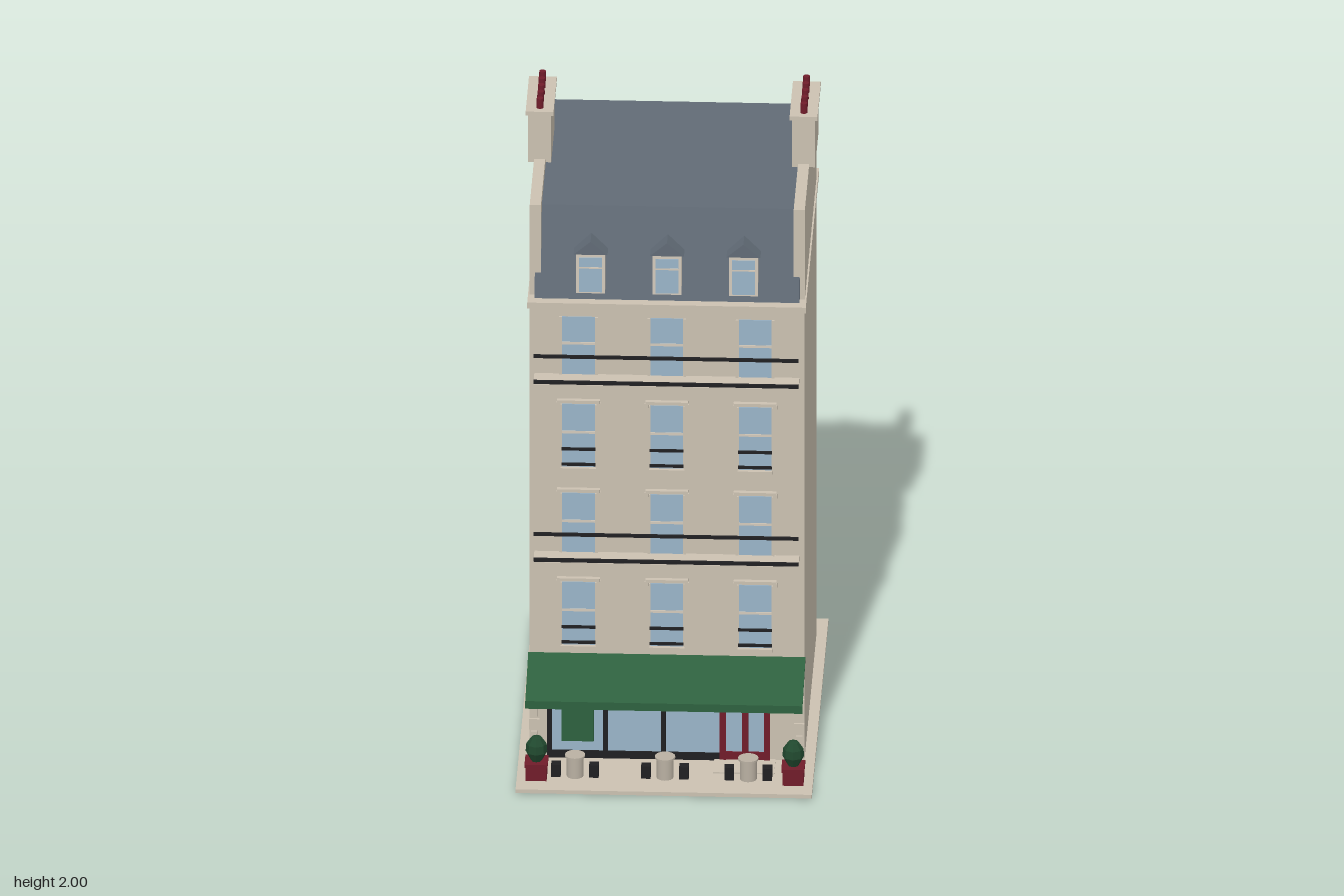
import * as THREE from 'three';

const mat = (name, color) => new THREE.MeshStandardMaterial({ name, color });

export function createModel() {
  const root = new THREE.Group();
  root.name = 'townhouse';
  const stone = mat('stone', 0xcbc1b1), trim = mat('paleTrim', 0xd3cabb), slate = mat('slate', 0x616b76);
  const glass = mat('glass', 0x9ab4c8), green = mat('awningGreen', 0x2e613f), red = mat('shopRed', 0x701c2a);
  const black = mat('ironBlack', 0x1f2022), leaf = mat('foliage', 0x21492f), metal = mat('tableMetal', 0xb9b0a2);

  const add = (parent, name, geometry, material, x = 0, y = 0, z = 0) => {
    const m = new THREE.Mesh(geometry, material);
    m.name = name;
    m.position.set(x, y, z);
    parent.add(m);
    return m;
  };
  // Box given by its limits on each axis
  const box = (parent, name, material, x0, x1, y0, y1, z0, z1) =>
    add(parent, name, new THREE.BoxGeometry(x1 - x0, y1 - y0, z1 - z0), material,
      (x0 + x1) / 2, (y0 + y1) / 2, (z0 + z1) / 2);
  // Side profile of [z, y] points swept from x0 to x1
  const prism = (parent, name, material, points, x0, x1) => {
    const shape = new THREE.Shape(points.map(p => new THREE.Vector2(...p)));
    const g = new THREE.ExtrudeGeometry(shape, { depth: x1 - x0, bevelEnabled: false });
    g.rotateY(-Math.PI / 2).translate(x1, 0, 0);
    return add(parent, name, g, material);
  };
  const group = (name, x, y, z, turned) => {
    const g = new THREE.Group();
    g.name = name;
    g.position.set(x, y, z);
    if (turned) g.rotation.y = Math.PI;
    root.add(g);
    return g;
  };

  const FRONT = 0.355, BACK = -0.525;

  // Pavement and main walls
  box(root, 'pavement', stone, -0.436, 0.436, 0.004, 0.016, -0.585, 0.58);
  box(root, 'doorStep', stone, 0.14, 0.32, 0, 0.02, 0.34, 0.45);
  box(root, 'mainWalls', stone, -0.39, 0.39, 0.01, 1.5, BACK, FRONT);
  box(root, 'corniceUpper', stone, -0.41, 0.41, 1.497, 1.516, -0.545, 0.38);
  box(root, 'corniceLower', stone, -0.4, 0.4, 1.478, 1.497, -0.532, 0.368);

  // Mansard roof
  prism(root, 'mansardRoof', slate,
    [[0.35, 1.515], [0.26, 1.78], [-0.435, 1.78], [-0.525, 1.515]], -0.39, 0.39);

  // Party walls, chimneys and pots
  for (const s of [-1, 1]) {
    const side = group(s > 0 ? 'leftPartyWall' : 'rightPartyWall', s * 0.3885, 0, 0);
    box(side, 'lowerWall', stone, -0.0165, 0.0165, 0.01, 1.5, -0.495, FRONT);
    box(side, 'gableWall', stone, -0.0165, 0.0165, 1.5, 1.81, -0.495, 0.325);
    box(side, 'chimneyStack', stone, -0.034, 0.034, 1.8, 1.958, -0.197, 0.022);
    box(side, 'chimneyCap', stone, -0.041, 0.041, 1.956, 1.969, -0.205, 0.03);
    for (let i = 0; i < 5; i++)
      add(side, 'chimneyPot', new THREE.CylinderGeometry(0.01, 0.011, 0.034, 10), red,
        0, 1.983, -0.178 + i * 0.0445);
  }

  // Dormers on both roof slopes
  for (const turned of [false, true]) for (const x of [-0.225, 0, 0.225]) {
    const d = group('dormer', x, 0, turned ? BACK : 0.35, turned);
    box(d, 'dormerBody', trim, -0.043, 0.043, 1.525, 1.662, -0.09, -0.006);
    box(d, 'dormerGlass', glass, -0.034, 0.034, 1.538, 1.65, -0.007, -0.003);
    box(d, 'dormerGlazingBar', trim, -0.034, 0.034, 1.615, 1.62, -0.004, -0.002);
    const gable = new THREE.Shape([[-0.05, 1.66], [0.05, 1.66], [0, 1.703]]
      .map(p => new THREE.Vector2(...p)));
    add(d, 'dormerRoof', new THREE.ExtrudeGeometry(gable, { depth: 0.08, bevelEnabled: false }),
      slate, 0, 0, -0.083);
  }

  // Windows: four floors, three bays, front and rear
  for (let floor = 0; floor < 4; floor++) for (const x of [-0.26, 0, 0.26]) {
    const base = 0.385 + floor * 0.292;
    const w = group('frontWindow', x, base, FRONT);
    const top = floor === 3 ? 0.2 : 0.205;
    box(w, 'windowGlass', glass, -0.048, 0.048, 0, top, 0, 0.003);
    for (const s of [-1, 1])
      box(w, 'windowJamb', stone, s * 0.053 - 0.004, s * 0.053 + 0.004, 0, top, 0, 0.007);
    box(w, 'transom', trim, -0.048, 0.048, 0.11, 0.118, 0, 0.005);
    if (floor < 3) {
      box(w, 'windowHood', stone, -0.063, 0.063, 0.212, 0.222, 0, 0.014);
      for (const s of [-1, 1])
        box(w, 'hoodBracket', stone, s * 0.059 - 0.006, s * 0.059 + 0.006, 0.199, 0.213, 0, 0.01);
    }
    if (floor % 2 === 0) {
      box(w, 'windowSill', stone, -0.052, 0.052, -0.012, 0, 0, 0.015);
      for (const y of [0.008, 0.058])
        box(w, 'windowRail', black, -0.05, 0.05, y, y + 0.008, 0.008, 0.014);
    }

    const r = group('rearWindow', x, 0.42 + floor * 0.292, BACK, true);
    box(r, 'rearGlass', glass, -0.037, 0.037, 0, 0.155, 0, 0.004);
    for (const s of [-1, 1])
      box(r, 'rearJamb', stone, s * 0.042 - 0.005, s * 0.042 + 0.005, 0, 0.165, 0, 0.008);
    box(r, 'rearLintel', stone, -0.047, 0.047, 0.155, 0.165, 0, 0.008);
    box(r, 'rearSill', stone, -0.053, 0.053, -0.012, 0, 0, 0.014);
  }

  // Balconies across the second and fourth floors
  for (const y of [0.675, 1.259]) {
    box(root, 'balconySlab', stone, -0.39, 0.39, y, y + 0.014, FRONT, 0.43);
    box(root, 'balconyLowerRail', black, -0.39, 0.39, y + 0.014, y + 0.024, 0.42, 0.428);
    box(root, 'balconyTopRail', black, -0.39, 0.39, y + 0.099, y + 0.108, 0.42, 0.428);
  }

  // Corner stones at street level
  for (const s of [-1, 1]) for (let i = 0; i < 6; i++) {
    const w = i % 2 ? 0.01 : 0.015;
    box(root, 'cornerStone', stone, s * 0.39 - w, s * 0.39 + w, 0.025 + i * 0.04, 0.059 + i * 0.04, 0.33, 0.362);
  }

  // Shopfront
  box(root, 'shopFascia', red, -0.378, 0.378, 0.258, 0.325, FRONT, 0.369);
  box(root, 'shopGlass', glass, -0.345, 0.155, 0.04, 0.26, FRONT, 0.36);
  box(root, 'shopBase', black, -0.345, 0.155, 0.016, 0.04, FRONT, 0.364);
  for (const x of [-0.345, -0.18, -0.01])
    box(root, 'shopMullion', black, x - 0.007, x + 0.007, 0.016, 0.258, FRONT, 0.365);
  box(root, 'menuPanel', green, -0.31, -0.215, 0.07, 0.2, 0.36, 0.363);
  box(root, 'doorGlass', glass, 0.165, 0.295, 0.04, 0.25, FRONT, 0.36);
  for (const x of [0.165, 0.231, 0.295])
    box(root, 'doorFrame', red, x - 0.009, x + 0.009, 0.018, 0.258, FRONT, 0.367);
  box(root, 'doorKickPlate', red, 0.165, 0.295, 0.018, 0.045, FRONT, 0.365);
  box(root, 'doorHead', red, 0.16, 0.3, 0.243, 0.258, FRONT, 0.367);

  // Striped inner canopy
  const stripes = 15, sx = 0.515 / stripes;
  for (let i = 0; i < stripes; i++)
    prism(root, 'canopyStripe', i % 2 ? trim : red,
      [[0.36, 0.284], [0.45, 0.251], [0.45, 0.246], [0.36, 0.279]],
      -0.357 + i * sx, -0.357 + (i + 1) * sx);
  box(root, 'canopyValance', red, -0.357, 0.158, 0.228, 0.251, 0.445, 0.451);

  // Large green awning
  prism(root, 'awningCloth', green,
    [[FRONT, 0.356], [0.565, 0.299], [0.565, 0.291], [FRONT, 0.346]], -0.408, 0.408);
  box(root, 'awningValance', green, -0.408, 0.408, 0.274, 0.298, 0.559, 0.565);

  // Pavement tables and stools
  for (const x of [-0.265, 0, 0.245]) {
    const t = group('tableSet', x, 0, 0.48);
    add(t, 'table', new THREE.CylinderGeometry(0.025, 0.025, 0.064, 16), metal, 0, 0.048, 0);
    add(t, 'tableTop', new THREE.CylinderGeometry(0.03, 0.03, 0.006, 16), metal, 0, 0.082, 0);
    for (const s of [-1, 1])
      box(t, 'stool', black, s * 0.056 - 0.014, s * 0.056 + 0.014, 0.014, 0.056, -0.014, 0.014);
  }

  // Planters with clipped shrubs
  const shrub = [[0, 0.065], [0.015, 0.068], [0.032, 0.1], [0.03, 0.125], [0.016, 0.145], [0, 0.148]]
    .map(p => new THREE.Vector2(...p));
  const leafFacets = leaf;
  leafFacets.flatShading = true;
  for (const s of [-1, 1]) {
    const p = group('planter', s * 0.378, 0, 0.492);
    box(p, 'planterBox', red, -0.031, 0.031, 0.012, 0.064, -0.031, 0.031);
    box(p, 'planterRim', red, -0.034, 0.034, 0.06, 0.07, -0.034, 0.034);
    add(p, 'shrub', new THREE.LatheGeometry(shrub, 8), leafFacets);
  }
  return root;
}
